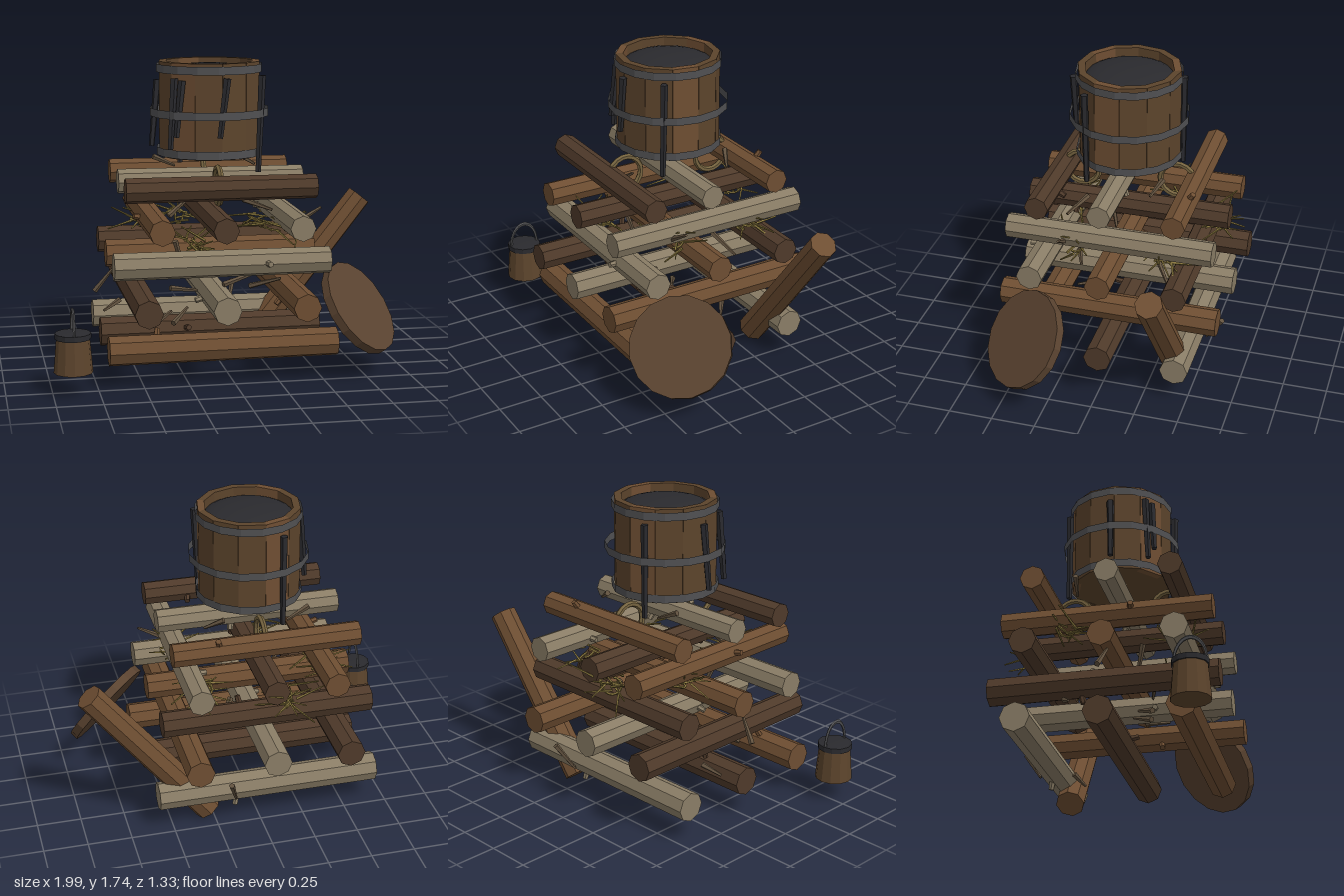
import * as THREE from 'three';

const mat = (color, side = THREE.FrontSide) =>
  new THREE.MeshStandardMaterial({ color, flatShading: true, side });
const M = {
  dark: mat(0x4f3a2a), brown: mat(0x6e4e32), light: mat(0x8a7d66),
  disc: mat(0x5a4330), stave: mat(0x5c442c), iron: mat(0x505052, THREE.DoubleSide),
  pitch: mat(0x2a2a2e), rope: mat(0x75633f), straw: mat(0x85743c), twig: mat(0x62523f),
};
const smoothPitch = new THREE.MeshStandardMaterial({ color: 0x2a2a2e });

let seed = 7;
const rand = (a = 0, b = 1) => {
  seed = (seed * 16807) % 2147483647;
  return a + (b - a) * (seed / 2147483647);
};
const V = (x, y, z) => new THREE.Vector3(x, y, z);

function add(parent, name, geo, material, pos = [0, 0, 0]) {
  const mesh = new THREE.Mesh(geo, material);
  mesh.name = name;
  mesh.position.set(...pos);
  parent.add(mesh);
  return mesh;
}

// Straight faceted rod from a to b
function rod(parent, name, a, b, r0, r1, sides, material) {
  const d = b.clone().sub(a);
  const mesh = add(parent, name, new THREE.CylinderGeometry(r1, r0, d.length(), sides), material);
  mesh.position.copy(a).add(b).multiplyScalar(0.5);
  mesh.quaternion.setFromUnitVectors(V(0, 1, 0), d.normalize());
  return mesh;
}

// Crossed layers of logs, each with a cut branch stub
function logPile() {
  const pile = new THREE.Group();
  pile.name = 'logPile';
  const layers = [
    { y: 0.21, r: 0.083, half: 0.635, alongX: true, at: [0.455, 0.015, -0.43], c: ['brown', 'dark', 'light'] },
    { y: 0.445, r: 0.08, half: 0.63, alongX: false, at: [-0.49, -0.065, 0.375], c: ['dark', 'light', 'brown'] },
    { y: 0.665, r: 0.077, half: 0.6, alongX: true, at: [0.415, 0.02, -0.41], c: ['light', 'brown', 'dark'] },
    { y: 0.875, r: 0.073, half: 0.59, alongX: false, at: [-0.41, -0.065, 0.355], c: ['brown', 'dark', 'light'] },
    { y: 1.075, r: 0.07, half: 0.528, alongX: true, at: [0.385, 0.03, -0.385], c: ['dark', 'light', 'brown'] },
  ];
  for (const { y, r, half, alongX, at, c } of layers) {
    at.forEach((p, i) => {
      const point = (t) => (alongX ? V(-0.055 + t, y, p) : V(p, y, t));
      rod(pile, 'log', point(-half), point(half), r, r * 0.97, 8, M[c[i]]);
      const s = point(rand(-0.3, 0.3) * half * 2);
      const k = rand(0, 6.28), u = Math.cos(k) * r * 1.4, v = Math.sin(k) * r * 1.4;
      const tip = s.clone().add(alongX ? V(0.02, u, v) : V(u, v, 0.02));
      rod(pile, 'branchStub', s, tip, 0.022, 0.016, 6, M[c[i]]);
    });
  }
  return pile;
}

// Straw tufts and loose twigs between the layers
function kindling() {
  const g = new THREE.Group();
  g.name = 'kindling';
  const tufts = [[-0.42, 0.82, -0.22], [-0.15, 0.78, -0.5], [0.36, 0.82, 0.2], [-0.2, 0.76, 0.36], [0.28, 0.78, -0.3]];
  for (const [x, y, z] of tufts) {
    for (let i = 0; i < 13; i++) {
      const a = V(x + rand(-0.06, 0.06), y + rand(-0.04, 0.05), z + rand(-0.06, 0.06));
      const k = rand(0, 6.28), len = rand(0.1, 0.2);
      const b = a.clone().add(V(Math.cos(k) * len, rand(-0.08, 0.1), Math.sin(k) * len));
      rod(g, 'straw', a, b, 0.008, 0.004, 4, M.straw);
    }
    const curl = add(g, 'strawCurl', new THREE.TorusGeometry(0.05, 0.007, 4, 12, 4.5), M.straw, [x, y, z]);
    curl.rotation.set(rand(0, 3), rand(0, 3), rand(0, 3));
  }
  const twigs = [
    [-0.72, 0.45, 0.02, -0.62, 0.58, 0.05], [-0.32, 0.5, 0.25, -0.16, 0.47, 0.2],
    [-0.03, 0.52, 0.3, 0.19, 0.57, 0.22], [0.16, 0.46, 0.1, 0.32, 0.52, 0.2],
    [-0.42, 0.29, 0.25, -0.3, 0.345, 0.15], [0.06, 0.15, -0.3, 0.13, 0.1, -0.25],
    [0.2, 0.34, -0.62, 0.15, 0.18, -0.52], [-0.3, 0.29, 0.22, -0.2, 0.35, 0.1],
    [-0.32, 0.9, 0.2, -0.2, 0.99, 0.15], [0.4, 0.85, 0.25, 0.54, 0.93, 0.24],
    [-0.35, 1.18, -0.2, -0.22, 1.12, -0.22], [0.15, 1.18, -0.25, 0.25, 1.12, -0.2],
    [-0.55, 0.34, -0.2, -0.65, 0.29, -0.15], [0.1, 0.98, 0.2, 0.25, 0.93, 0.28],
    [-0.28, 0.75, 0.17, -0.22, 0.55, 0.12], [0.1, 0.65, -0.2, 0.2, 0.52, -0.3],
  ];
  for (const [a, b, c, d, e, f] of twigs) rod(g, 'twig', V(a, b, c), V(d, e, f), 0.017, 0.008, 5, M.twig);
  return g;
}

// Staved barrel of pitch with hoops and drips
function barrel() {
  const g = new THREE.Group();
  g.name = 'barrel';
  g.position.set(-0.055, 1.21, 0);
  const count = 12, apothem = 0.28;
  for (let i = 0; i < count; i++) {
    const a = ((i + 0.65) / count) * Math.PI * 2;
    const m = add(g, 'stave', new THREE.BoxGeometry(0.148, 0.53, 0.04), i % 4 === 2 ? M.brown : M.stave,
      [Math.sin(a) * (apothem - 0.02), 0.268, Math.cos(a) * (apothem - 0.02)]);
    m.rotation.y = a;
  }
  add(g, 'barrelBottom', new THREE.CylinderGeometry(0.265, 0.265, 0.03, 12), M.stave, [0, 0.02, 0]);
  const dome = add(g, 'pitchSurface', new THREE.SphereGeometry(0.25, 24, 6, 0, Math.PI * 2, 0, Math.PI / 2), smoothPitch, [0, 0.47, 0]);
  dome.scale.y = 0.2;
  for (const [y, r] of [[0.03, 0.3], [0.25, 0.337], [0.495, 0.3]]) {
    add(g, 'hoop', new THREE.CylinderGeometry(r, r, 0.045, 16, 1, true), M.iron, [0, y, 0]);
  }
  // each drip: top x, y, z then bottom x, y, z
  const drips = [
    [-0.35, 1.64, 0, -0.385, 1.27, 0.01], [-0.285, 1.66, 0.19, -0.31, 1.27, 0.21],
    [-0.245, 1.65, 0.22, -0.28, 1.34, 0.24], [-0.01, 1.665, 0.31, -0.05, 1.34, 0.31],
    [0.21, 1.67, 0.18, 0.19, 1.13, 0.18], [-0.18, 1.66, -0.28, -0.18, 1.13, -0.28],
  ];
  for (const [a, b, c, d, e, f] of drips) {
    rod(g, 'pitchDrip', V(a + 0.055, b - 1.21, c), V(d + 0.055, e - 1.21, f), 0.022, 0.016, 5, M.pitch);
  }
  return g;
}

// Small bucket with a wire handle
function bucket() {
  const g = new THREE.Group();
  g.name = 'bucket';
  g.position.set(-0.89, 0.13, 0.54);
  add(g, 'bucketBody', new THREE.CylinderGeometry(0.09, 0.106, 0.19, 12), M.stave, [0, 0.095, 0]);
  add(g, 'bucketHoop', new THREE.CylinderGeometry(0.098, 0.098, 0.03, 12), M.pitch, [0, 0.2, 0]);
  const top = add(g, 'bucketPitch', new THREE.SphereGeometry(0.09, 16, 5, 0, Math.PI * 2, 0, Math.PI / 2), smoothPitch, [0, 0.212, 0]);
  top.scale.y = 0.08;
  const handle = add(g, 'bucketHandle', new THREE.TorusGeometry(0.085, 0.008, 5, 16, Math.PI), M.iron, [0, 0.21, 0]);
  handle.rotation.y = Math.PI / 2;
  handle.scale.y = 1.55;
  return g;
}

export function createModel() {
  const model = new THREE.Group();
  model.name = 'bonfire';
  model.add(logPile(), kindling(), barrel(), bucket());

  // Rope rings on the top logs
  for (const s of [1, -1]) {
    const ring = add(model, 'ropeRing', new THREE.TorusGeometry(0.1, 0.017, 6, 18), M.rope, [-0.055, 1.075, 0.28 * s]);
    ring.rotation.y = Math.PI / 2;
  }

  // Log leaning at the back, and the round lid propped in front
  rod(model, 'leaningLog', V(0.28, 0.055, -0.38), V(0.935, 0.885, -0.38), 0.082, 0.076, 8, M.brown);
  const n = V(0.62, 0.58, 0.53).normalize().multiplyScalar(0.025);
  const c = V(0.725, 0.375, 0.385);
  rod(model, 'lid', c.clone().sub(n), c.clone().add(n), 0.28, 0.28, 16, M.disc);
  return model;
}
